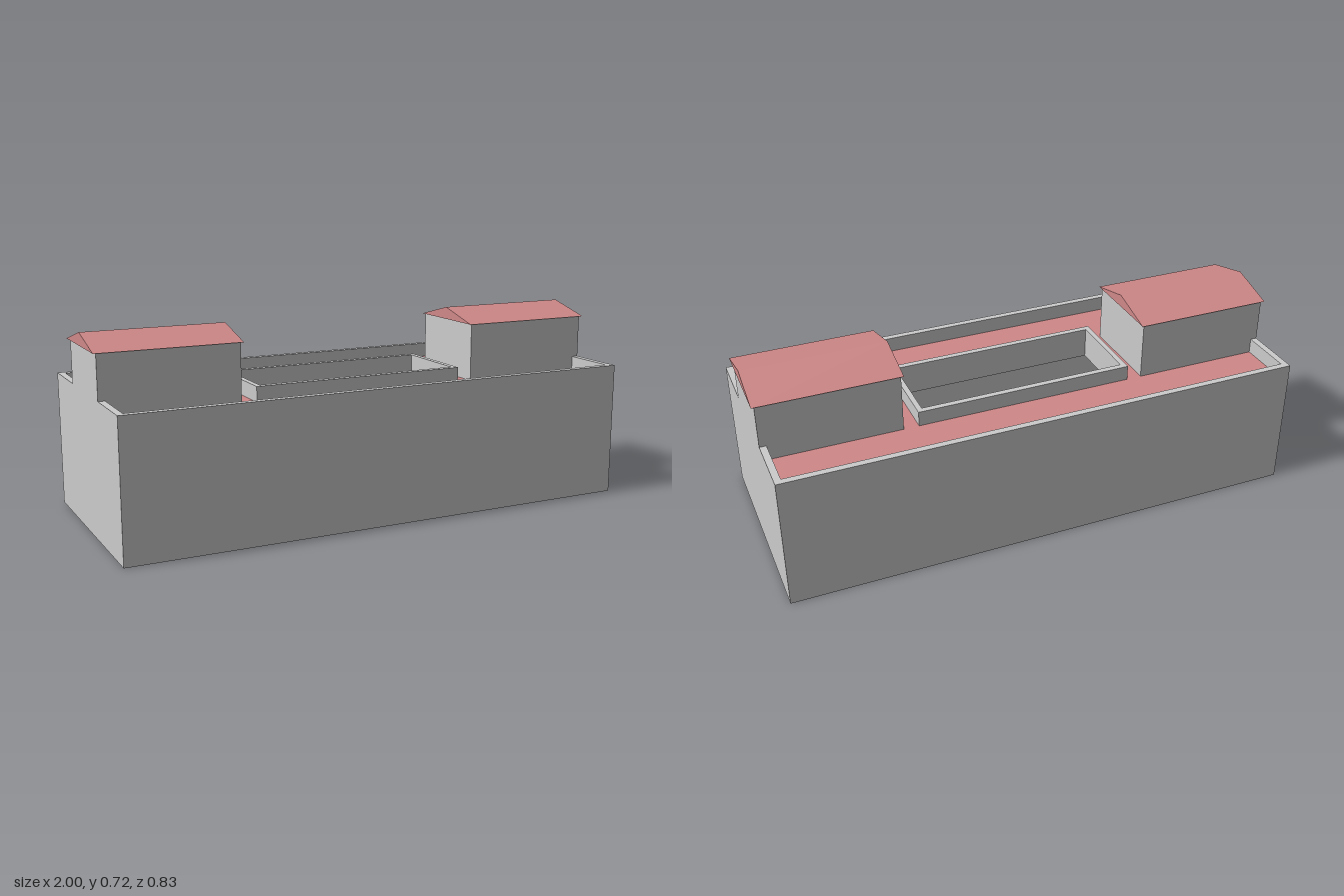
import * as THREE from 'three';

const grey = new THREE.MeshStandardMaterial({ color: 0xcccccc, flatShading: true });
const red = new THREE.MeshStandardMaterial({ color: 0xcf8888, flatShading: true });

function rectangle(PathType, hx, hz) {
  const p = new PathType();
  p.moveTo(-hx, -hz);
  p.lineTo(hx, -hz);
  p.lineTo(hx, hz);
  p.lineTo(-hx, hz);
  p.closePath();
  return p;
}

// Rectangular frame standing between y0 and y1, given by half sizes [x, z]
function frame(name, outer, inner, y0, y1, material) {
  const shape = rectangle(THREE.Shape, ...outer);
  shape.holes.push(rectangle(THREE.Path, ...inner));
  const geo = new THREE.ExtrudeGeometry(shape, { depth: y1 - y0, bevelEnabled: false });
  geo.rotateX(-Math.PI / 2);
  const mesh = new THREE.Mesh(geo, material);
  mesh.position.y = y0;
  mesh.name = name;
  return mesh;
}

// Roof house with a low gable roof whose ridge runs along x
function roofHouse(name, side) {
  const house = new THREE.Group();
  house.name = name;

  const x0 = 0.475, x1 = 0.987, y0 = 0.4, y1 = 0.67;
  const walls = new THREE.Mesh(new THREE.BoxGeometry(x1 - x0, y1 - y0, 0.346), grey);
  walls.position.set(side * (x0 + x1) / 2, (y0 + y1) / 2, 0);
  walls.name = 'houseWalls';

  const gable = new THREE.Shape();
  gable.moveTo(-0.181, 0);
  gable.lineTo(0.181, 0);
  gable.lineTo(0, 0.047);
  gable.closePath();
  const length = 0.532;
  const roofGeo = new THREE.ExtrudeGeometry(gable, { depth: length, bevelEnabled: false });
  roofGeo.translate(0, 0, -length / 2);
  roofGeo.rotateY(Math.PI / 2);
  const roof = new THREE.Mesh(roofGeo, red);
  roof.position.set(side * 0.732, y1, 0);
  roof.name = 'gableRoof';

  house.add(walls, roof);
  return house;
}

export function createModel() {
  const model = new THREE.Group();
  model.name = 'courtyardBuilding';

  const outer = [0.987, 0.406];
  const inner = [0.962, 0.381];
  const courtOuter = [0.418, 0.173];
  const courtInner = [0.398, 0.15];

  const building = new THREE.Group();
  building.name = 'building';
  // The building stands very slightly turned
  building.rotation.y = -0.011;

  building.add(
    // Thin wall foot, open underneath, then the thick wall up to the parapet
    frame('wallFoot', outer, [0.984, 0.403], 0, 0.097, grey),
    frame('outerWalls', outer, inner, 0.097, 0.507, grey),
    // Terrace slab with its red covering
    frame('terraceSlab', inner, courtOuter, 0.385, 0.446, grey),
    frame('terraceFloor', inner, courtOuter, 0.446, 0.45, red),
    // Parapet round the open courtyard
    frame('courtyardParapet', courtOuter, courtInner, 0.388, 0.507, grey),
    roofHouse('leftRoofHouse', 1),
    roofHouse('rightRoofHouse', -1),
  );
  model.add(building);
  return model;
}
